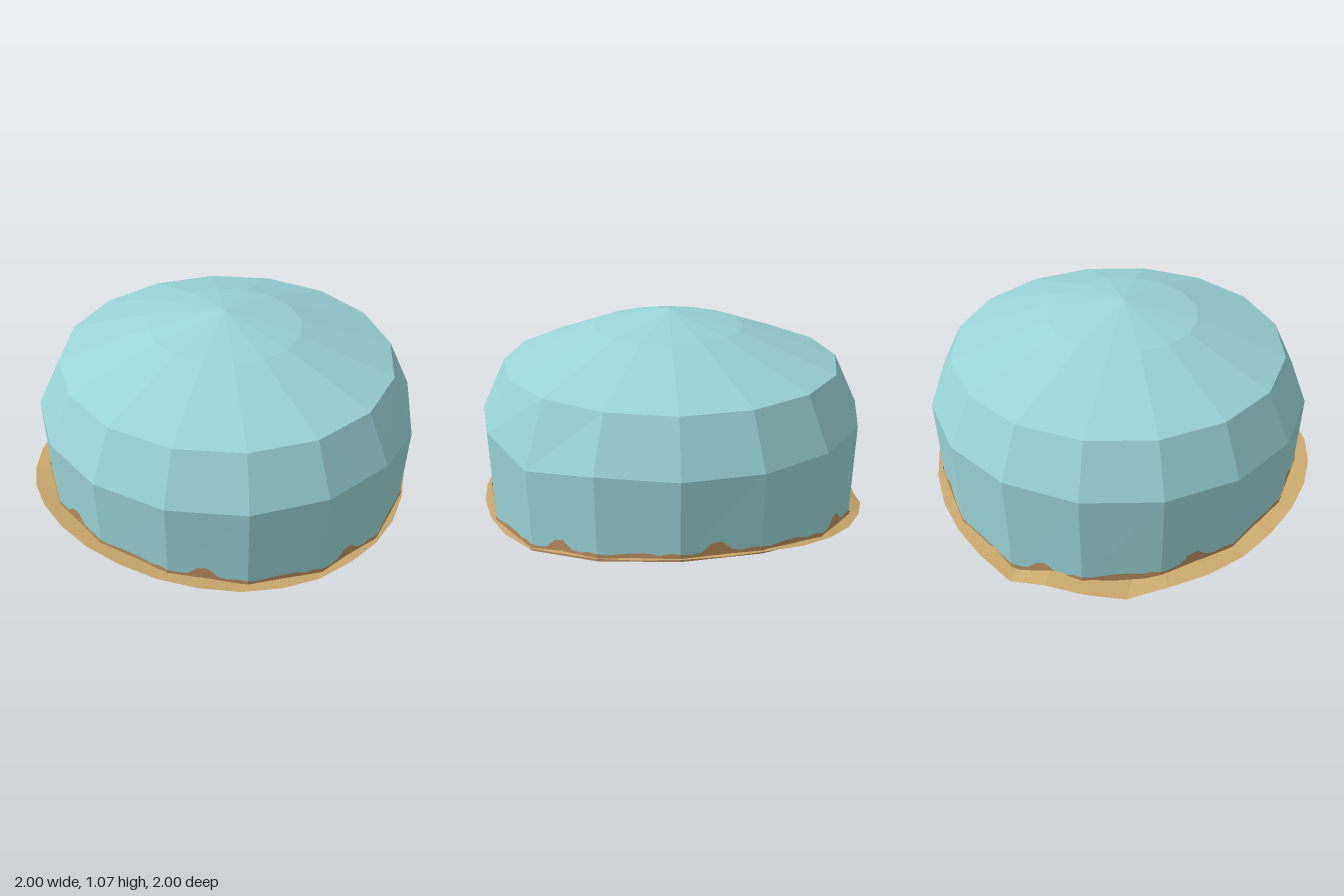
import * as THREE from 'three';

const CX = 0.02, CZ = -0.03;
const SIDES = 16, START = Math.PI / SIDES;

// Height of the sand rim every 11.25 degrees, from +x towards +z
const RIM = [
  0.11, 0.105, 0.12, 0.135, 0.16, 0.18, 0.2, 0.207,
  0.21, 0.2, 0.175, 0.14, 0.12, 0.1, 0.045, 0.06,
  0.065, 0, 0.05, 0.08, 0.1, 0.13, 0.16, 0.19,
  0.2, 0.2, 0.19, 0.17, 0.15, 0.11, 0.1, 0.1,
];
const RIM_RADIUS = 0.99, FLAT_RADIUS = 0.65, FLAT_Y = 0.155;

function rimHeight(angle) {
  const n = RIM.length;
  const t = (((angle / (Math.PI * 2)) % 1) + 1) % 1 * n;
  const i = Math.floor(t) % n;
  return THREE.MathUtils.lerp(RIM[i], RIM[(i + 1) % n], t - Math.floor(t));
}

function sandHeight(x, z) {
  const k = (Math.hypot(x, z) - FLAT_RADIUS) / (RIM_RADIUS - FLAT_RADIUS);
  return THREE.MathUtils.lerp(FLAT_Y, rimHeight(Math.atan2(z, x)), THREE.MathUtils.clamp(k, 0, 1));
}

// Joins closed rings of points, each listed from +x towards +z
function loft(rings) {
  const n = rings[0].length, index = [];
  for (let j = 0; j < rings.length - 1; j++) {
    for (let i = 0; i < n; i++) {
      const k = (i + 1) % n;
      const a = j * n + i, b = a + n, c = j * n + k, d = c + n;
      index.push(a, b, c, c, b, d);
    }
  }
  const geometry = new THREE.BufferGeometry().setFromPoints(rings.flat());
  geometry.setIndex(index);
  const flat = geometry.toNonIndexed();
  flat.computeVertexNormals();
  return flat;
}

function ring(count, start, radius, cx, cz, height) {
  return Array.from({ length: count }, (_, i) => {
    const a = start + (i / count) * Math.PI * 2;
    const x = cx + Math.cos(a) * radius, z = cz + Math.sin(a) * radius;
    return new THREE.Vector3(x, typeof height === 'number' ? height : height(x, z, i), z);
  });
}

export function createModel() {
  const material = (name, color) => {
    const m = new THREE.MeshStandardMaterial({ color, side: THREE.DoubleSide, flatShading: true });
    m.name = name;
    return m;
  };
  const paleTeal = material('pale teal', 0x9ad4d6);
  const sand = material('sand', 0xc8a86c);
  const rust = material('rusty sand', 0xb98e60);

  const model = new THREE.Group();
  model.name = 'domeOnSand';
  const add = (name, geometry, mat) => {
    const mesh = new THREE.Mesh(geometry, mat);
    mesh.name = name;
    model.add(mesh);
  };

  // Wall, with one dented corner at the back left
  const foot = ring(SIDES, START, 0.95, CX, CZ, (x, z) => sandHeight(x, z) - 0.015);
  const shoulder = ring(SIDES, START, 0.965, CX, CZ, (x, z, i) => (i === 14 ? 0.505 : 0.565));
  const eaves = ring(SIDES, START, 0.845, CX, CZ, 0.817);
  add('domeWall', loft([foot, shoulder, eaves]), paleTeal);

  // Shallow roof rising to a point
  add('domeRoof', loft([
    eaves,
    ring(SIDES, START, 0.38, 0.03, -0.01, 0.985),
    ring(SIDES, START, 0, 0.025, -0.005, 1.065),
  ]), paleTeal);

  // Curled sheet of sand under the dome
  const n = RIM.length;
  add('sandSheet', loft([
    ring(n, 0, RIM_RADIUS + 0.008, 0, 0, (x, z, i) => RIM[i]),
    ring(n, 0, FLAT_RADIUS, 0, 0, FLAT_Y),
    ring(n, 0, 0, 0, 0, 0.15),
  ]), sand);

  // Uneven band of sand clinging to the foot of the wall
  const steps = 8, low = [], high = [];
  const tabs = [0.025, 0.03, 0.02, 0.03, 0.07, 0.065, 0.025, 0.02];
  for (let i = 0; i < SIDES; i++) {
    for (let s = 0; s < steps; s++) {
      const p = foot[i].clone().lerp(foot[(i + 1) % SIDES], s / steps);
      p.x = CX + (p.x - CX) * 1.006;
      p.z = CZ + (p.z - CZ) * 1.006;
      const rise = i % 2 ? tabs[s] : Math.min(tabs[s], 0.03);
      low.push(p);
      high.push(p.clone().setY(p.y + 0.01 + rise));
    }
  }
  add('sandBand', loft([low, high]), rust);

  return model;
}
